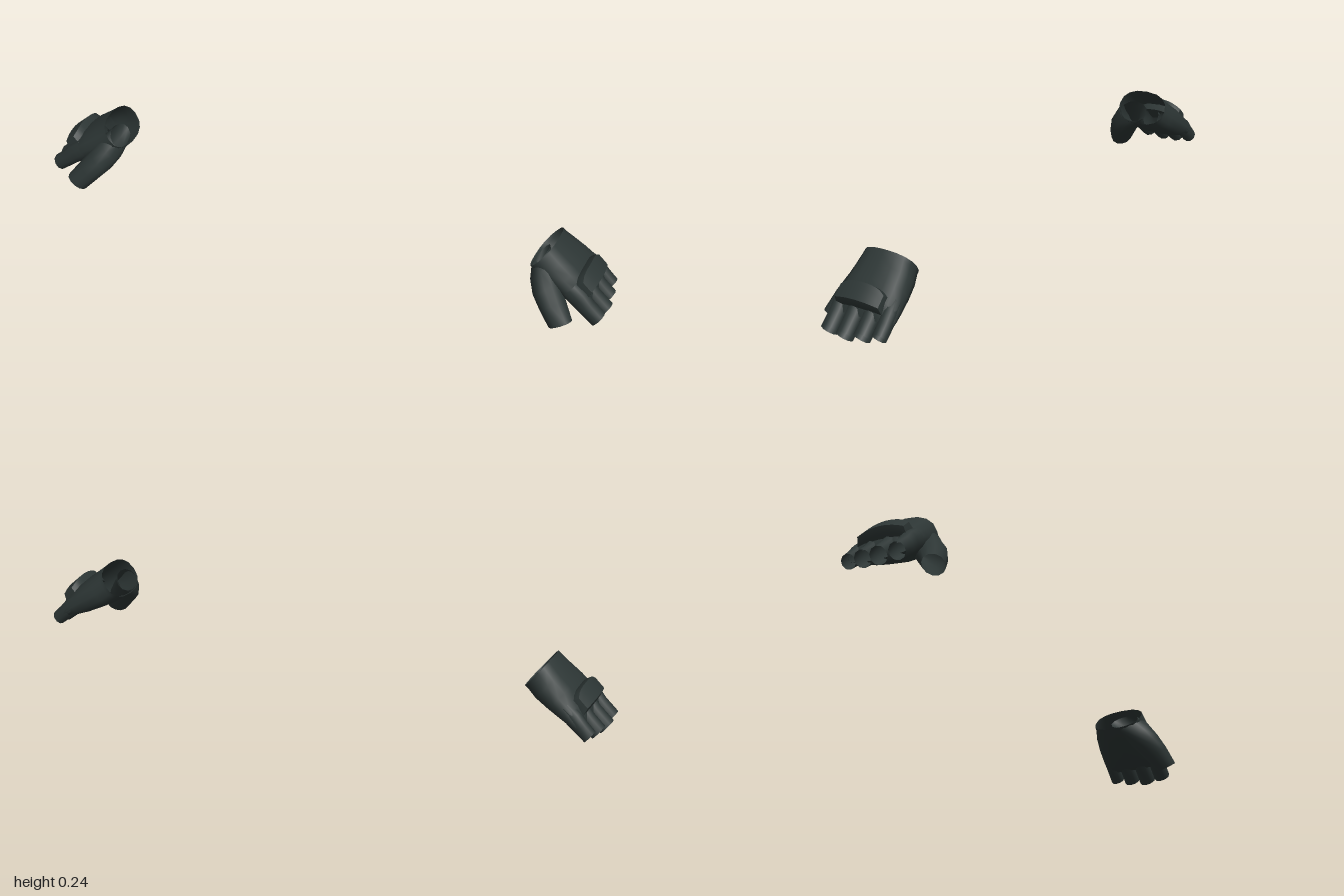
import * as THREE from 'three';

// Skin through elliptical rings [u, n, z, halfN, halfZ, tiltN, tiltZ]; u runs from wrist to fingertips,
// n points out of the back of the hand, z across it.
function loft(rings, sides, power = 1) {
  const pos = [], index = [];
  const soft = (v) => Math.sign(v) * Math.abs(v) ** power;
  for (const [u, n, z, hn, hz, tn = 0, tz = 0] of rings) {
    for (let j = 0; j < sides; j++) {
      const a = (j / sides) * Math.PI * 2;
      const dn = soft(Math.cos(a)) * hn, dz = soft(Math.sin(a)) * hz;
      pos.push(u + tn * dn + tz * dz, n + dn, z + dz);
    }
  }
  for (let i = 0; i < rings.length - 1; i++) {
    for (let j = 0; j < sides; j++) {
      const k = (j + 1) % sides, a = i * sides, b = a + sides;
      index.push(a + j, a + k, b + j, a + k, b + k, b + j);
    }
  }
  const g = new THREE.BufferGeometry();
  g.setAttribute('position', new THREE.Float32BufferAttribute(pos, 3));
  g.setIndex(index);
  g.computeVertexNormals();
  return g;
}

// Padded bar over the knuckles, bent to follow the back of the hand
function padGeometry() {
  const g = new THREE.BoxGeometry(0.07, 0.046, 0.162, 3, 2, 10);
  const p = g.attributes.position;
  for (let i = 0; i < p.count; i++) {
    let u = p.getX(i), n = p.getY(i), z = p.getZ(i);
    const t = z / 0.081;
    if (n > 0.02) { u *= 0.82; z *= 0.95; }
    if (u < 0) u += 0.016 * t ** 4;
    p.setXYZ(i, u + 0.154, n + 0.054 - 0.016 * t * t - 0.1 * u, z - 0.027);
  }
  g.computeVertexNormals();
  return g;
}

function makeGlove(name, material) {
  const glove = new THREE.Group();
  glove.name = name;
  const add = (part, geometry) => {
    const mesh = new THREE.Mesh(geometry, material);
    mesh.name = part;
    glove.add(mesh);
  };

  // Palm sleeve, open at the wrist
  add('palm', loft([
    [0, 0, -0.028, 0.062, 0.09],
    [0.012, 0, -0.028, 0.061, 0.091],
    [0.05, -0.001, -0.031, 0.06, 0.099],
    [0.1, 0.003, -0.033, 0.055, 0.106],
    [0.155, 0.006, -0.034, 0.047, 0.11],
    [0.188, 0.004, -0.035, 0.034, 0.11],
    [0.208, 0.002, -0.035, 0.018, 0.106],
  ], 16, 0.85));

  // Thumb, swelling out of the palm side
  add('thumb', loft([
    [0.004, -0.018, 0.0, 0.038, 0.052],
    [0.03, -0.03, 0.032, 0.047, 0.05],
    [0.08, -0.046, 0.06, 0.045, 0.05, 0.2, -0.2],
    [0.13, -0.057, 0.086, 0.04, 0.043, 0.3, -0.3],
    [0.19, -0.07, 0.112, 0.035, 0.033, 0.4, -0.3],
  ], 12));

  // Four cut-off fingers: [z, tip u, radius]
  const fingers = [[0.05, 0.266, 0.028], [-0.008, 0.272, 0.029], [-0.065, 0.262, 0.028], [-0.119, 0.249, 0.024]];
  fingers.forEach(([z, tip, r], i) => add('finger' + (i + 1), loft([
    [0.13, 0.008, z * 0.97, r * 1.25, r],
    [0.175, 0.008, z, r * 1.25, r * 1.02],
    [0.21, 0.004, z, r * 1.08, r],
    [tip, 0.001, z, r, r],
  ], 10)));

  add('knucklePad', padGeometry());
  glove.rotation.z = -0.655;
  glove.position.set(0.766, 0.2, 0);
  return glove;
}

export function createModel() {
  const model = new THREE.Group();
  model.name = 'glovePair';
  const leather = new THREE.MeshStandardMaterial({ color: 0x2c3534, side: THREE.DoubleSide });
  leather.name = 'dark leather';

  // Left glove, and its mirror image for the right hand
  model.add(makeGlove('leftGlove', leather));
  const mirror = new THREE.Group();
  mirror.name = 'rightSide';
  mirror.scale.x = -1;
  mirror.add(makeGlove('rightGlove', leather));
  model.add(mirror);
  return model;
}
